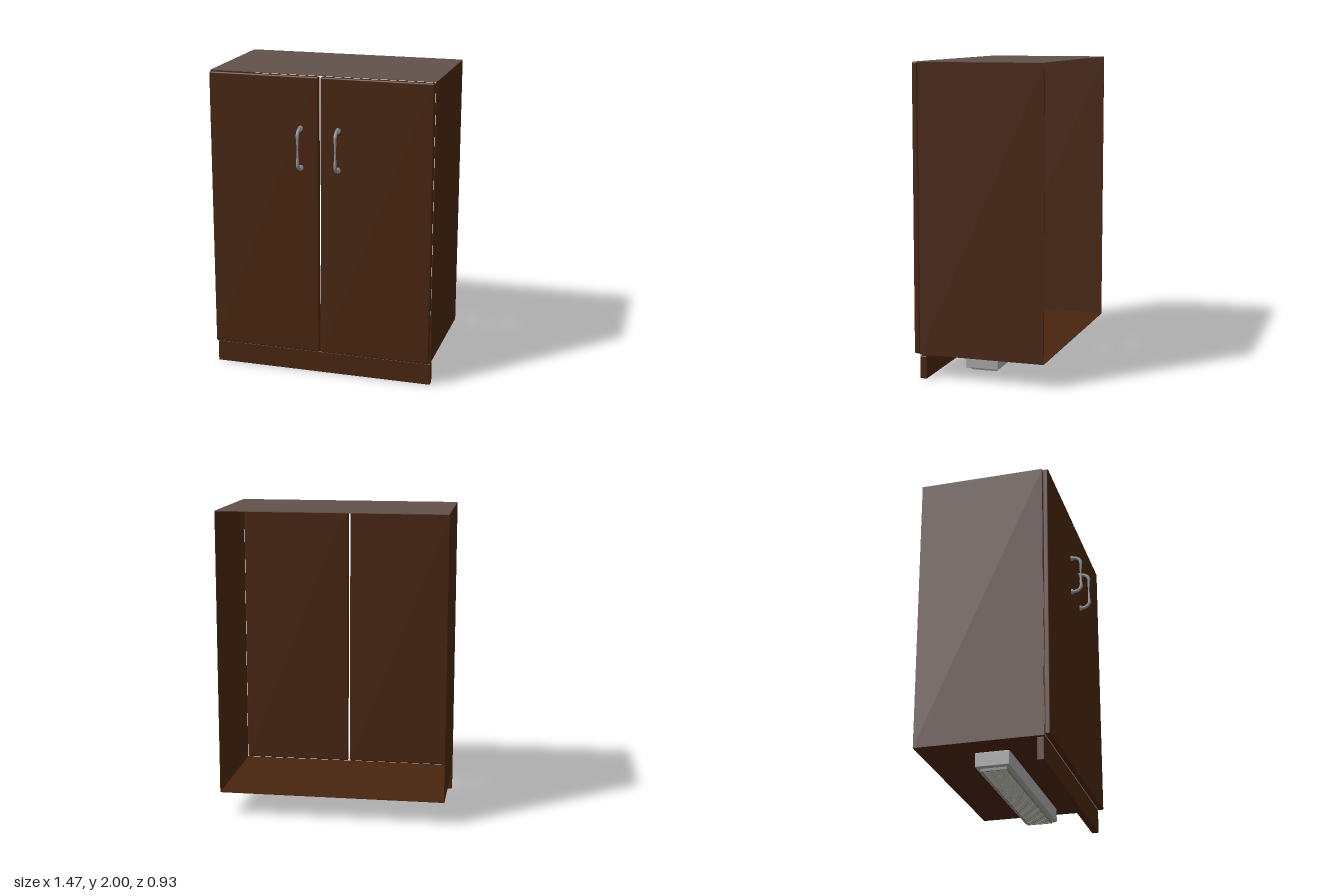
import * as THREE from 'three';
import { RoundedBoxGeometry } from 'three/addons/geometries/RoundedBoxGeometry.js';

const mat = (name, color) => {
  const m = new THREE.MeshStandardMaterial({ color });
  m.name = name;
  return m;
};

export function createModel() {
  const wood = mat('dark brown wood', 0x47240f);
  const topMat = mat('grey brown worktop', 0x61514a);
  const steel = mat('steel handle', 0x8e9092);
  const casing = mat('light grey casing', 0xa6a6a6);
  const grilleMat = mat('grey grille', 0x85857c);

  const model = new THREE.Group();
  model.name = 'cabinet';

  const add = (parent, name, geometry, material, x = 0, y = 0, z = 0) => {
    const mesh = new THREE.Mesh(geometry, material);
    mesh.name = name;
    mesh.position.set(x, y, z);
    parent.add(mesh);
    return mesh;
  };
  const box = (w, h, d) => new THREE.BoxGeometry(w, h, d);

  // Carcass: thin panels, open at the back and behind the doors
  const W = 1.47, T = 0.004, bottom = 0.155, back = -0.466, front = 0.348;
  const depth = front - back, midZ = (front + back) / 2;
  add(model, 'topPanel', box(W, T, depth), topMat, 0, 2 - T / 2, midZ);
  add(model, 'bottomPanel', box(W, T, depth), wood, 0, bottom + T / 2, midZ);
  for (const s of [1, -1]) {
    add(model, s > 0 ? 'leftPanel' : 'rightPanel', box(T, 2 - bottom - 2 * T, depth), wood,
      s * (W - T) / 2, (2 + bottom) / 2, midZ);
  }

  // Plinth below the doors
  add(model, 'plinth', new RoundedBoxGeometry(W, 0.147, 0.047, 2, 0.006), wood, 0, 0.0735, 0.326);

  // Handle: tube bent out from the door, slimmer at mid-grip
  const points = [[-0.127, 0.012], [-0.127, 0.03], [-0.118, 0.05], [-0.098, 0.066], [-0.05, 0.066],
    [0, 0.066], [0.05, 0.066], [0.098, 0.066], [0.118, 0.05], [0.127, 0.03], [0.127, 0.012]];
  const path = new THREE.CatmullRomCurve3(points.map(([y, z]) => new THREE.Vector3(0, y, z)));
  const steps = 48, sides = 10;
  const grip = new THREE.TubeGeometry(path, steps, 0.011, sides);
  const pos = grip.attributes.position, v = new THREE.Vector3();
  for (let i = 0; i <= steps; i++) {
    const centre = path.getPointAt(i / steps);
    const scale = 0.45 + 0.55 * Math.min(1, Math.abs(centre.y) / 0.095);
    for (let j = 0; j <= sides; j++) {
      const k = i * (sides + 1) + j;
      v.fromBufferAttribute(pos, k).sub(centre).multiplyScalar(scale).add(centre);
      pos.setXYZ(k, v.x, v.y, v.z);
    }
  }
  grip.computeVertexNormals();
  const collar = new THREE.CylinderGeometry(0.016, 0.018, 0.014, 16).rotateX(Math.PI / 2);

  // Pair of doors with mirrored handles
  for (const s of [1, -1]) {
    const door = new THREE.Group();
    door.name = s > 0 ? 'leftDoor' : 'rightDoor';
    add(door, 'doorPanel', new RoundedBoxGeometry(0.726, 1.838, 0.038, 3, 0.01), wood, s * 0.369, 1.077, 0.369);
    const handle = new THREE.Group();
    handle.name = 'handle';
    handle.position.set(s * 0.123, 1.537, 0.388);
    add(handle, 'grip', grip, steel);
    for (const y of [-0.127, 0.127]) add(handle, 'collar', collar, steel, 0, y, 0.007);
    door.add(handle);
    model.add(door);
  }

  // Heater unit hung under the floor, with a ribbed grille facing down
  const unit = new THREE.Group();
  unit.name = 'underUnit';
  unit.position.set(0, 0, -0.014);
  add(unit, 'casing', new RoundedBoxGeometry(1.17, 0.093, 0.217, 2, 0.005), casing, 0, 0.0985, 0);
  add(unit, 'grilleBack', box(1.1, 0.008, 0.168), grilleMat, 0, 0.049, 0);
  for (const s of [1, -1]) {
    add(unit, 'grilleRail', box(1.1, 0.012, 0.008), grilleMat, 0, 0.041, s * 0.08);
    add(unit, 'grilleEnd', box(0.008, 0.012, 0.152), grilleMat, s * 0.546, 0.041, 0);
  }
  const ribs = 60;
  for (let i = 0; i < ribs; i++) {
    add(unit, 'grilleRib', box(0.009, 0.009, 0.152), grilleMat, -0.53 + 1.06 * i / (ribs - 1), 0.0415, 0);
  }
  model.add(unit);

  return model;
}
